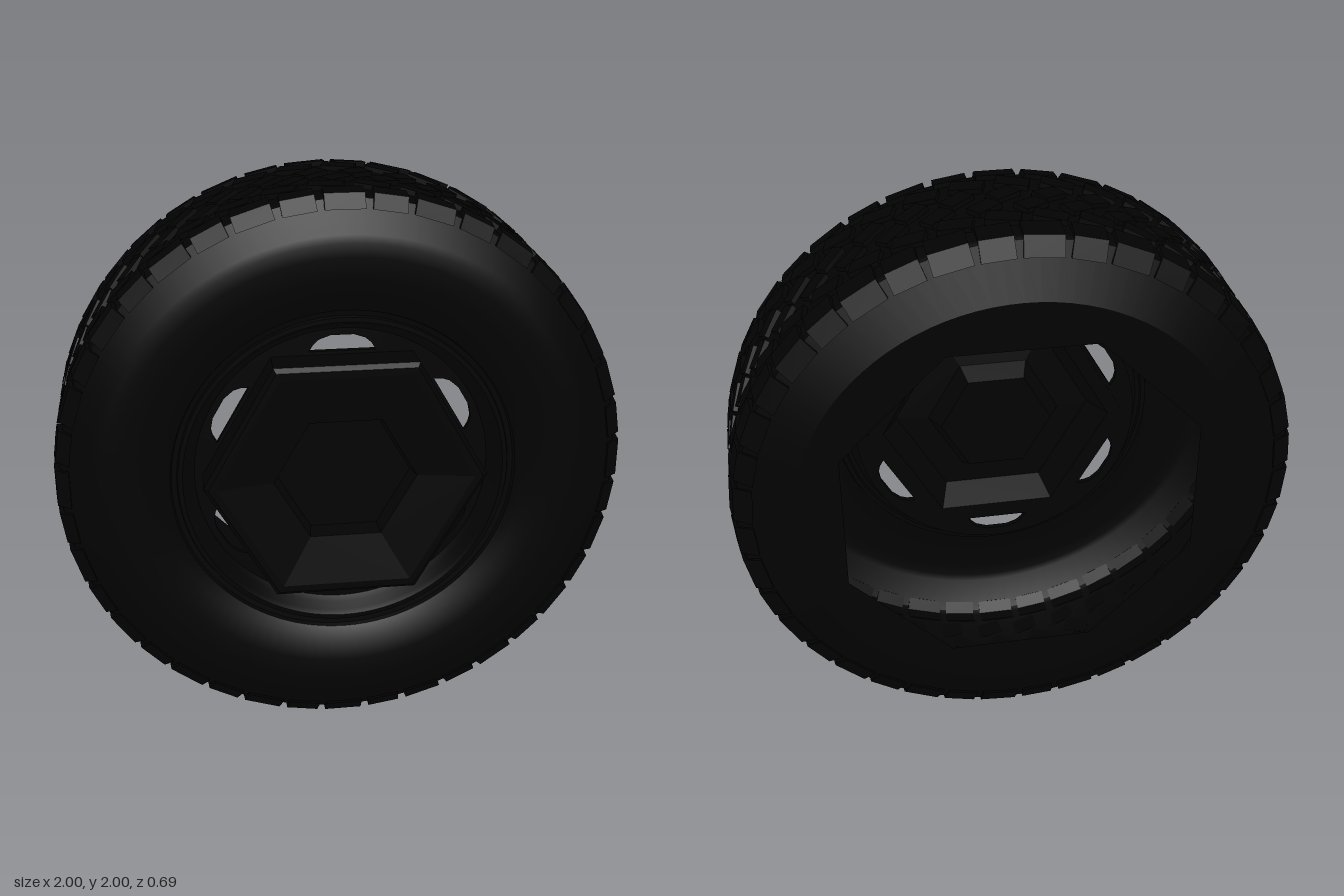
import * as THREE from 'three';
import { mergeGeometries, toCreasedNormals } from 'three/addons/utils/BufferGeometryUtils.js';

// The tyre is a hollow open shell, so its inside shows through the back opening
const black = new THREE.MeshStandardMaterial({ name: 'black', color: 0x020202, side: THREE.DoubleSide });

// Turned profile of [radius, z] pairs around the wheel axis (z)
function turned(profile, sides, start = 0, crease = 0.5) {
  const points = profile.map(([r, z]) => new THREE.Vector2(r, z));
  const geo = new THREE.LatheGeometry(points, sides, start).rotateX(Math.PI / 2);
  return toCreasedNormals(geo, crease);
}

const shapeOf = (points) => new THREE.Shape(points.map(([x, y]) => new THREE.Vector2(x, y)));

function polygon(radius, sides, start) {
  const points = [];
  for (let i = 0; i < sides; i++) {
    const a = start + (i / sides) * Math.PI * 2;
    points.push(new THREE.Vector2(Math.cos(a) * radius, Math.sin(a) * radius));
  }
  return points;
}

export function createModel() {
  const model = new THREE.Group();
  model.name = 'wheel';
  const wheel = new THREE.Group();
  wheel.name = 'tyreAndRim';
  wheel.position.y = 1;
  model.add(wheel);
  const add = (name, geo) => {
    const mesh = new THREE.Mesh(geo, black);
    mesh.name = name;
    wheel.add(mesh);
  };

  // Tyre carcass: back shoulder, tread base, front shoulder and sidewall
  add('tyre', turned([
    [0.79, -0.345], [0.972, -0.268], [0.98, -0.25], [0.981, 0], [0.98, 0.23],
    [0.972, 0.25], [0.87, 0.322], [0.845, 0.331], [0.8, 0.335], [0.72, 0.332],
    [0.64, 0.31], [0.605, 0.285], [0.6, 0.27], [0.582, 0.268],
  ], 96));

  // Flat back sidewall with an eight-sided opening
  const back = new THREE.Shape(polygon(0.79, 96, 0));
  back.holes.push(new THREE.Path(polygon(0.67, 8, Math.PI / 8)));
  add('backSidewall', new THREE.ShapeGeometry(back).rotateY(Math.PI).translate(0, 0, -0.345));

  // Tread: four rows of slanted blocks, staggered
  const count = 40, step = (Math.PI * 2) / count;
  const blocks = [];
  const rows = [
    { z: 0.045, slant: 0.6, width: 0.1, length: 0.065, shift: 0 },
    { z: -0.045, slant: 0.6, width: 0.1, length: 0.065, shift: 0.5 },
    { z: 0.135, slant: -0.3, width: 0.115, length: 0.07, shift: 0.3 },
    { z: -0.135, slant: -0.3, width: 0.115, length: 0.07, shift: 0.8 },
  ];
  for (const row of rows) {
    for (let i = 0; i < count; i++) {
      blocks.push(new THREE.BoxGeometry(row.width, 0.018, row.length)
        .rotateY(row.slant)
        .translate(0, 0.988, row.z)
        .rotateZ((i + row.shift) * step));
    }
  }
  add('treadBlocks', mergeGeometries(blocks));

  // Short shoulder lugs along both tread edges, alternating in width
  const lugs = [];
  const frontLug = [[0.19, 0.976], [0.19, 0.997], [0.25, 0.99], [0.284, 0.942], [0.27, 0.942], [0.235, 0.976]];
  const backLug = [[-0.19, 0.976], [-0.19, 0.997], [-0.266, 0.985], [-0.3, 0.92], [-0.287, 0.92], [-0.255, 0.976]];
  for (const [profile, shift] of [[frontLug, 0], [backLug, 0.5]]) {
    for (let i = 0; i < count; i++) {
      const width = i % 2 ? 0.115 : 0.135;
      lugs.push(new THREE.ExtrudeGeometry(shapeOf(profile), { depth: width, bevelEnabled: false })
        .translate(0, 0, -width / 2)
        .rotateY(-Math.PI / 2)
        .rotateZ((i + shift) * step));
    }
  }
  add('shoulderLugs', mergeGeometries(lugs));

  // Rim lip and shallow dish
  add('rim', turned([
    [0.582, 0.268], [0.578, 0.278], [0.562, 0.278], [0.55, 0.262], [0.535, 0.23], [0.515, 0.205],
  ], 96));

  // Rim plate with six rounded slots and a hexagonal centre opening
  const plate = new THREE.Shape(polygon(0.53, 64, 0));
  plate.holes.push(new THREE.Path(polygon(0.43, 6, 0)));
  const slot = [
    [-0.115, 0.437], [0.115, 0.437], [0.1, 0.462], [0.08, 0.48], [0.04, 0.494],
    [-0.04, 0.494], [-0.08, 0.48], [-0.1, 0.462],
  ].map(([x, y]) => new THREE.Vector2(x, y));
  for (let i = 0; i < 6; i++) {
    const origin = new THREE.Vector2();
    plate.holes.push(new THREE.Path(slot.map((p) => p.clone().rotateAround(origin, (i * Math.PI) / 3))));
  }
  add('rimPlate', new THREE.ExtrudeGeometry(plate, { depth: 0.02, bevelEnabled: false }).translate(0, 0, 0.19));

  // Hexagonal hub: hollow behind with a boss, dished face with a recessed centre
  add('hub', turned([
    [0, 0.2], [0.21, 0.2], [0.25, 0.27], [0.37, 0.29], [0.43, 0.187], [0.49, 0.187],
    [0.495, 0.33], [0.478, 0.345], [0.45, 0.345], [0.25, 0.31], [0.235, 0.25], [0, 0.25],
  ], 6, Math.PI / 2, 0.15));

  return model;
}
